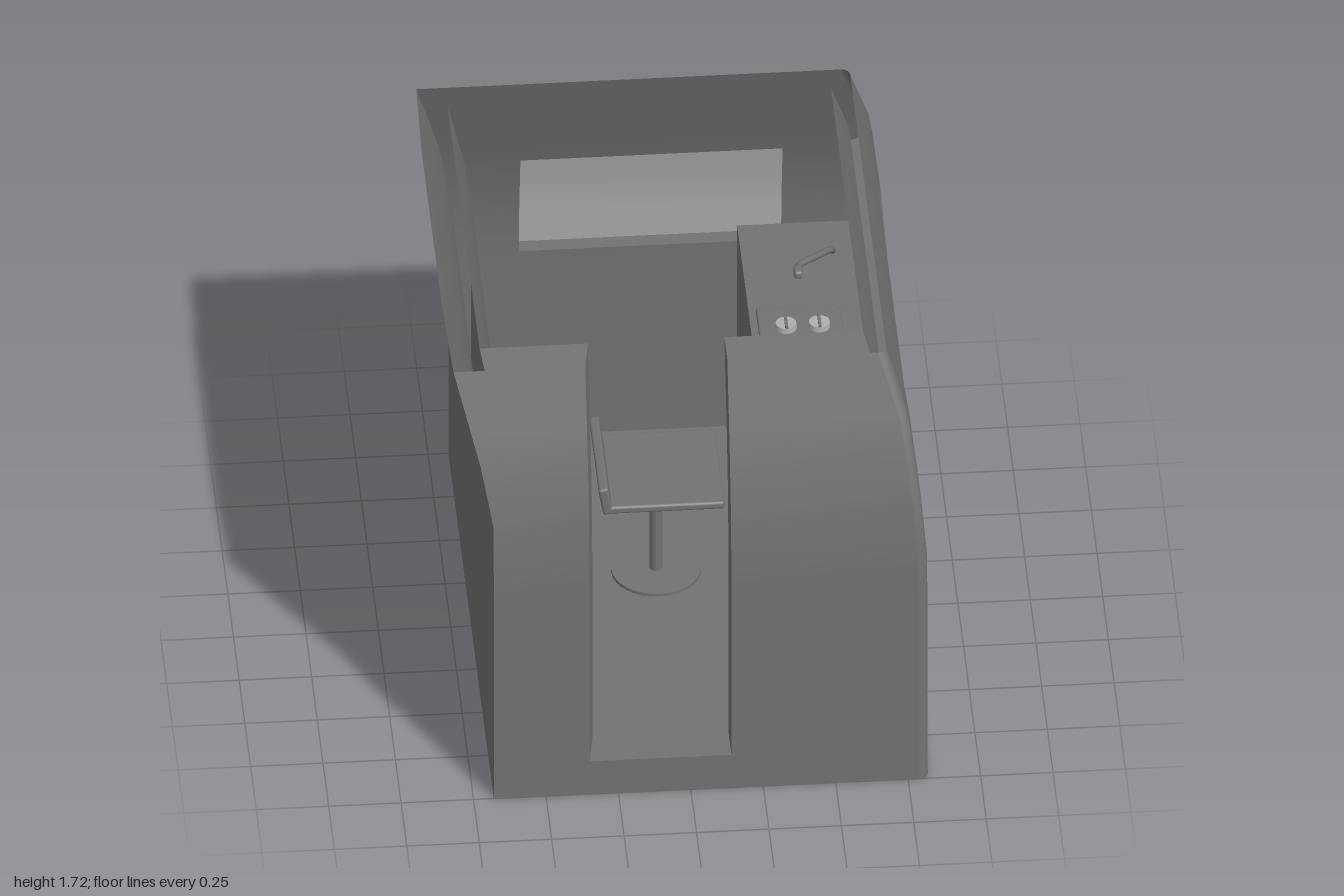
import * as THREE from 'three';
import { toCreasedNormals } from 'three/addons/utils/BufferGeometryUtils.js';
import { RoundedBoxGeometry } from 'three/addons/geometries/RoundedBoxGeometry.js';

const hull = new THREE.MeshStandardMaterial({ color: 0x737373, side: THREE.DoubleSide });
const pale = new THREE.MeshStandardMaterial({ color: 0xafafaf, side: THREE.DoubleSide });

// Piecewise linear lookup in a [y, value] table
function at(table, y) {
  if (y <= table[0][0]) return table[0][1];
  for (let i = 1; i < table.length; i++) {
    const [y0, v0] = table[i - 1], [y1, v1] = table[i];
    if (y <= y1) return v0 + (v1 - v0) * (y - y0) / (y1 - y0);
  }
  return table[table.length - 1][1];
}

// Outer extents of the cabin by height
const RIGHT = [[0, 0.82], [0.93, 0.818], [1.15, 0.8], [1.45, 0.765], [1.7, 0.69]];
const LEFT = [[0, -0.68], [1.15, -0.68], [1.37, -0.72], [1.7, -0.805]];
const DEPTH = [[0, 1], [0.93, 1], [1.15, 0.98], [1.37, 0.93], [1.7, 0.82]];
const LEFT_GAP = [[1.15, 0.07], [1.7, 0.1]];
const CORNER = 0.03, FLOOR = 0.14, TOP = 1.7;
const LEVELS = [0, FLOOR, 0.84, 0.93, 1.05, 1.15, 1.26, 1.37, 1.47, 1.58, TOP];

// Wall limits at height y; d = 0 on the outer skin, d = 1 on the inner lining
function limits(y, d) {
  const z = at(DEPTH, y);
  return {
    l: at(LEFT, y) + d * at(LEFT_GAP, y), r: at(RIGHT, y) - d * 0.072,
    f: z - d * 0.13, b: -z + d * 0.105,
  };
}

function wallPoint(side, u, y, d) {
  const m = limits(y, d), clamp = THREE.MathUtils.clamp;
  if (side === 'front' || side === 'back') {
    return [clamp(u, m.l, m.r), y, side === 'front' ? m.f : m.b];
  }
  const z = clamp(u, m.b, m.f);
  if (side === 'right') return [m.r, y, z];
  const bow = d === 0 && y === TOP && Math.abs(u) < 0.5 ? 1 : 0; // raised middle of the flared edge
  return [m.l - 0.012 * bow, y + 0.02 * bow, z];
}

function meshFrom(name, tris, material) {
  let geo = new THREE.BufferGeometry();
  geo.setAttribute('position', new THREE.Float32BufferAttribute(tris.flat(), 3));
  geo = toCreasedNormals(geo, 0.45);
  const mesh = new THREE.Mesh(geo, material);
  mesh.name = name;
  return mesh;
}

// Hollow curved wall of grid cells, open at the top and bottom: an outer skin, an inner
// lining above the floor, and rims round the openings where keep() is false
function wall(name, side, cols, keep, material = hull, d0 = 0, d1 = 1) {
  const tris = [], rows = LEVELS, n = cols(0, 0).length - 1;
  const flip = side === 'back' || side === 'right';
  const quad = (a, b, c, d) => tris.push(...(flip ? [a, c, b, a, d, c] : [a, b, c, a, c, d]));
  const has = (i, j) => i < 0 || i >= n || j < 0 || j >= rows.length - 1 || keep(i, (rows[j] + rows[j + 1]) / 2);
  const p = (i, j, d) => wallPoint(side, cols(rows[j], d)[i], rows[j], d);
  for (let j = 0; j < rows.length - 1; j++) for (let i = 0; i < n; i++) {
    if (!has(i, j)) continue;
    const [a, b, c, d] = [p(i, j, d0), p(i + 1, j, d0), p(i + 1, j + 1, d0), p(i, j + 1, d0)];
    const [e, f, g, h] = [p(i, j, d1), p(i + 1, j, d1), p(i + 1, j + 1, d1), p(i, j + 1, d1)];
    quad(a, b, c, d);
    if (rows[j] >= FLOOR) quad(f, e, h, g);
    if (!has(i, j - 1)) quad(e, f, b, a);
    if (!has(i, j + 1)) quad(d, c, g, h);
    if (!has(i - 1, j)) quad(e, a, d, h);
    if (!has(i + 1, j)) quad(b, f, g, c);
  }
  return meshFrom(name, tris, material);
}

// Rounded upright corner beside the side window, s = 1 front, s = -1 back
function corner(name, s) {
  const tris = [], N = 4;
  const tri = (a, b, c) => tris.push(...(s > 0 ? [a, b, c] : [a, c, b]));
  const p = (k, y) => {
    const a = k / N * Math.PI / 2;
    return [at(RIGHT, y) - CORNER * (1 - Math.sin(a)), y, s * (at(DEPTH, y) - CORNER * (1 - Math.cos(a)))];
  };
  for (let k = 0; k < N; k++) for (let j = 0; j < LEVELS.length - 1; j++) {
    const y0 = LEVELS[j], y1 = LEVELS[j + 1];
    tri(p(k, y0), p(k + 1, y0), p(k + 1, y1));
    tri(p(k, y0), p(k + 1, y1), p(k, y1));
  }
  return meshFrom(name, tris, hull);
}

export function createModel() {
  const model = new THREE.Group();
  const add = (name, geo, x = 0, y = 0, z = 0, material = hull, parent = model) => {
    const mesh = new THREE.Mesh(geo, material);
    mesh.name = name;
    mesh.position.set(x, y, z);
    parent.add(mesh);
    return mesh;
  };

  // Walls with the doorway and the two window openings, which narrow inward
  const endX = (y, d) => at(RIGHT, y) - CORNER * (1 - d), endZ = (y, d) => at(DEPTH, y) - CORNER * (1 - d);
  const frontCols = (y, d) => [at(LEFT, y), -0.35 + 0.02 * d, 0.14, endX(y, d)];
  const backCols = (y, d) => [at(LEFT, y), -0.475 + 0.03 * d, 0.49 - 0.03 * d, endX(y, d)];
  const sideCols = (y, d) => [-endZ(y, d),
    at([[0.84, -0.77], [1.15, -0.82], [1.47, -0.75]], y) + 0.03 * d,
    at([[0.84, 0.71], [1.15, 0.77], [1.47, 0.7]], y) - 0.03 * d, endZ(y, d)];
  const leftCols = y => [-at(DEPTH, y), -0.43, 0.43, at(DEPTH, y)];
  const inBack = y => y > 0.93 && y < 1.37, inSide = y => y > 0.84 && y < 1.47;
  model.add(
    wall('frontWall', 'front', frontCols, (i, y) => i !== 1 || y < FLOOR),
    wall('backWall', 'back', backCols, (i, y) => i !== 1 || !inBack(y)),
    wall('windowSideWall', 'right', sideCols, (i, y) => i !== 1 || !inSide(y)),
    wall('flaredSideWall', 'left', leftCols, () => true),
    wall('backWindowPane', 'back', backCols, (i, y) => i === 1 && inBack(y), pale, 0.3, 0.45),
    wall('sideWindowPane', 'right', sideCols, (i, y) => i === 1 && inSide(y), pale, 0.35, 0.5),
    corner('frontCorner', 1),
    corner('backCorner', -1),
  );

  add('floor', new THREE.BoxGeometry(1.358, 0.02, 1.765), 0.069, FLOOR - 0.01, -0.0125);

  // Seat facing the console
  const seat = new THREE.Group();
  seat.name = 'seat';
  seat.position.set(-0.035, 0, -0.085);
  model.add(seat);
  add('seatBase', new THREE.CylinderGeometry(0.155, 0.155, 0.04, 32), 0, 0.132, 0, hull, seat);
  add('seatPost', new THREE.CylinderGeometry(0.022, 0.022, 0.41, 20), 0, 0.345, 0, hull, seat);
  add('seatCushion', new RoundedBoxGeometry(0.41, 0.03, 0.43, 2, 0.01), 0.015, 0.56, 0, hull, seat);
  const rest = add('seatBack', new RoundedBoxGeometry(0.035, 0.11, 0.43, 2, 0.01), -0.19, 0.598, 0, hull, seat);
  rest.rotation.z = 0.16;

  // Control console along the window side
  const desk = 1.03;
  add('console', new THREE.BoxGeometry(0.43, desk - FLOOR, 1.68), 0.52, (desk + FLOOR) / 2, -0.01);
  add('buttonPanel', new RoundedBoxGeometry(0.29, 0.02, 0.54, 2, 0.008), 0.475, desk + 0.004, -0.085);
  for (const x of [0.425, 0.54]) for (const z of [-0.23, -0.085, 0.055]) {
    add('button', new THREE.CylinderGeometry(0.036, 0.038, 0.025, 20), x, desk + 0.022, z, pale);
    add('buttonGrip', new THREE.BoxGeometry(0.01, 0.012, 0.07), x, desk + 0.038, z);
  }
  add('throttlePanel', new RoundedBoxGeometry(0.28, 0.02, 0.22, 2, 0.008), 0.47, desk + 0.004, 0.33);
  add('throttlePlate', new RoundedBoxGeometry(0.25, 0.02, 0.17, 2, 0.008), 0.48, desk + 0.014, 0.33);
  add('throttleHandle', new RoundedBoxGeometry(0.03, 0.06, 0.14, 2, 0.01), 0.48, desk + 0.04, 0.335);

  // Bent lever at the back end of the console
  const path = new THREE.CatmullRomCurve3([
    [0.62, desk, -0.68], [0.61, desk + 0.05, -0.62], [0.55, desk + 0.09, -0.53],
    [0.49, desk + 0.11, -0.46], [0.48, desk + 0.12, -0.42],
  ].map(p => new THREE.Vector3(...p)));
  add('lever', new THREE.TubeGeometry(path, 20, 0.012, 10));
  add('leverGrip', new RoundedBoxGeometry(0.03, 0.03, 0.05, 2, 0.01), 0.48, desk + 0.12, -0.405);
  return model;
}
